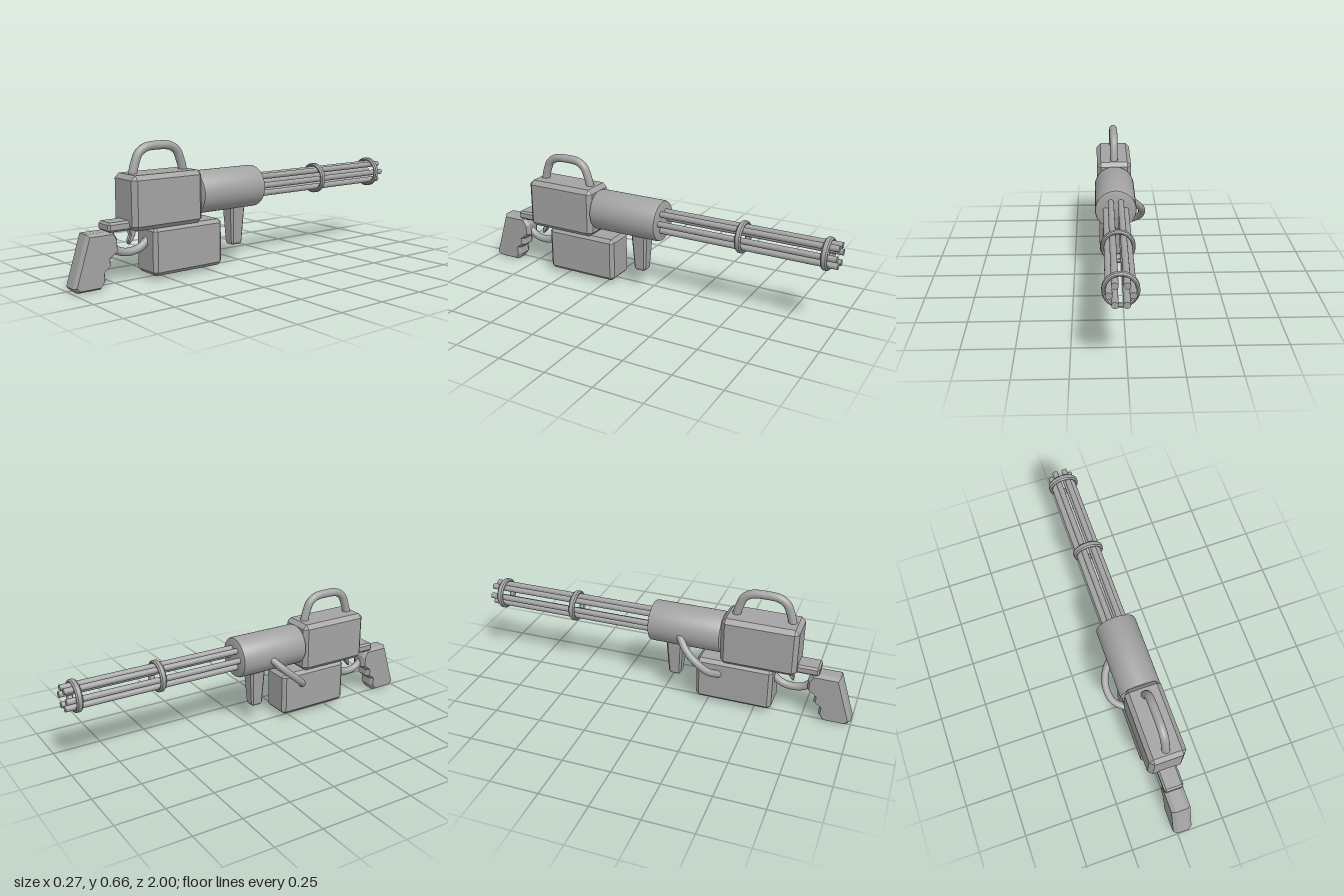
import * as THREE from 'three';
import { toCreasedNormals } from 'three/addons/utils/BufferGeometryUtils.js';
import { ConvexGeometry } from 'three/addons/geometries/ConvexGeometry.js';

const CX = 0.029;      // the whole body is mirrored about this x
const AXIS_Y = 0.394;  // height of the barrel axis

export function createModel() {
  const group = new THREE.Group();
  const metal = new THREE.MeshStandardMaterial({ color: 0xa3a3a3 });
  metal.name = 'grey metal';

  const add = (name, geometry, x = 0, y = 0, z = 0) => {
    const mesh = new THREE.Mesh(geometry, metal);
    mesh.name = name;
    mesh.position.set(x, y, z);
    group.add(mesh);
    return mesh;
  };

  // Box with every edge cut at 45 degrees; taper narrows the lower end
  const chamferBox = (w, h, d, c, taper = 1) => {
    const points = [];
    for (const sx of [-1, 1]) for (const sy of [-1, 1]) for (const sz of [-1, 1]) {
      for (let axis = 0; axis < 3; axis++) {
        const k = sy < 0 ? taper : 1;
        points.push(new THREE.Vector3(
          sx * (w / 2 - (axis === 0 ? 0 : c)) * k,
          sy * (h / 2 - (axis === 1 ? 0 : c)),
          sz * (d / 2 - (axis === 2 ? 0 : c)) * k));
      }
    }
    return new ConvexGeometry(points);
  };

  // Side outline given as [z, y], extruded across x with one bevel step
  const sidePlate = (outline, width, bevel, inset) => {
    const shape = new THREE.Shape(outline.map(p => new THREE.Vector2(...p)));
    const depth = width - 2 * bevel;
    const geometry = new THREE.ExtrudeGeometry(shape, {
      depth, bevelEnabled: true, bevelSegments: 1,
      bevelThickness: bevel, bevelSize: inset, bevelOffset: -inset,
    });
    return geometry.translate(0, 0, -depth / 2).rotateY(-Math.PI / 2);
  };

  // Turned part around the z axis, profile given as [radius, z]
  const turned = (profile, sides = 48) => toCreasedNormals(
    new THREE.LatheGeometry(profile.map(p => new THREE.Vector2(...p)), sides).rotateX(Math.PI / 2), 0.5);

  const tube = (points, radius, segments = 40) => new THREE.TubeGeometry(
    new THREE.CatmullRomCurve3(points.map(p => new THREE.Vector3(...p))), segments, radius, 16);

  // Receiver, ammunition box and rear bracket
  add('receiver', chamferBox(0.19, 0.26, 0.395, 0.022), CX, 0.386, 0.5125);
  add('ammoBox', chamferBox(0.167, 0.235, 0.403, 0.018), CX, 0.141, 0.3915);
  add('rearBracket', chamferBox(0.102, 0.046, 0.125, 0.01), CX, 0.283, 0.757);

  // Barrel housing
  add('barrelHousing', turned([
    [0, -0.07], [0.096, -0.07], [0.104, -0.067], [0.107, -0.058],
    [0.107, 0.303], [0.104, 0.312], [0.096, 0.315], [0, 0.315],
  ]), CX, AXIS_Y, 0);

  // Six barrels in a ring
  const barrels = new THREE.Group();
  barrels.name = 'barrels';
  barrels.position.set(CX, AXIS_Y, 0);
  const barrelGeometry = new THREE.CylinderGeometry(0.0155, 0.0155, 0.95, 20).rotateX(Math.PI / 2);
  for (let i = 0; i < 6; i++) {
    const a = i * Math.PI / 3;
    const barrel = new THREE.Mesh(barrelGeometry, metal);
    barrel.name = 'barrel' + (i + 1);
    barrel.position.set(0.051 * Math.cos(a), 0.051 * Math.sin(a), -0.525);
    barrels.add(barrel);
  }
  group.add(barrels);

  // Clamp rings around the barrels
  const ringGeometry = turned([
    [0.064, -0.01], [0.069, -0.016], [0.075, -0.016], [0.081, -0.009],
    [0.081, 0.009], [0.075, 0.016], [0.069, 0.016], [0.064, 0.01], [0.064, -0.01],
  ]);
  add('middleRing', ringGeometry, CX, AXIS_Y, -0.512);
  add('muzzleRing', ringGeometry, CX, AXIS_Y, -0.941);

  // Carrying handle
  add('carryHandle', tube([
    [CX, 0.505, 0.66], [CX, 0.565, 0.643], [CX, 0.61, 0.622], [CX, 0.635, 0.583], [CX, 0.641, 0.515],
    [CX, 0.635, 0.447], [CX, 0.61, 0.408], [CX, 0.565, 0.387], [CX, 0.505, 0.37],
  ], 0.0215, 60));

  // Rear grip with finger grooves
  add('rearGrip', sidePlate([
    [1.0, 0.025], [0.975, 0], [0.858, 0], [0.832, 0.035], [0.835, 0.075], [0.802, 0.1],
    [0.805, 0.135], [0.765, 0.165], [0.765, 0.225], [0.79, 0.265], [0.925, 0.265],
  ], 0.1, 0.02, 0.012), CX);

  // Trigger and its guard
  add('trigger', sidePlate([
    [0.65, 0.275], [0.653, 0.23], [0.667, 0.205], [0.688, 0.183], [0.692, 0.205],
    [0.683, 0.225], [0.688, 0.275],
  ], 0.03, 0.005, 0.004), CX);
  add('triggerGuard', tube([
    [CX, 0.225, 0.8], [CX, 0.185, 0.775], [CX, 0.158, 0.74], [CX, 0.147, 0.69],
    [CX, 0.157, 0.63], [CX, 0.185, 0.59], [CX, 0.205, 0.57],
  ], 0.02));

  // Front grip, narrowing downwards
  add('frontGrip', chamferBox(0.088, 0.23, 0.094, 0.012, 0.7), CX, 0.215, 0.056);

  // Feed tube from the housing round to the ammunition box
  add('feedTube', tube([
    [-0.05, 0.39, 0.095], [-0.075, 0.365, 0.115], [-0.108, 0.32, 0.158], [-0.119, 0.27, 0.215],
    [-0.103, 0.222, 0.27], [-0.06, 0.191, 0.305], [-0.035, 0.18, 0.315],
  ], 0.019));

  return group;
}
